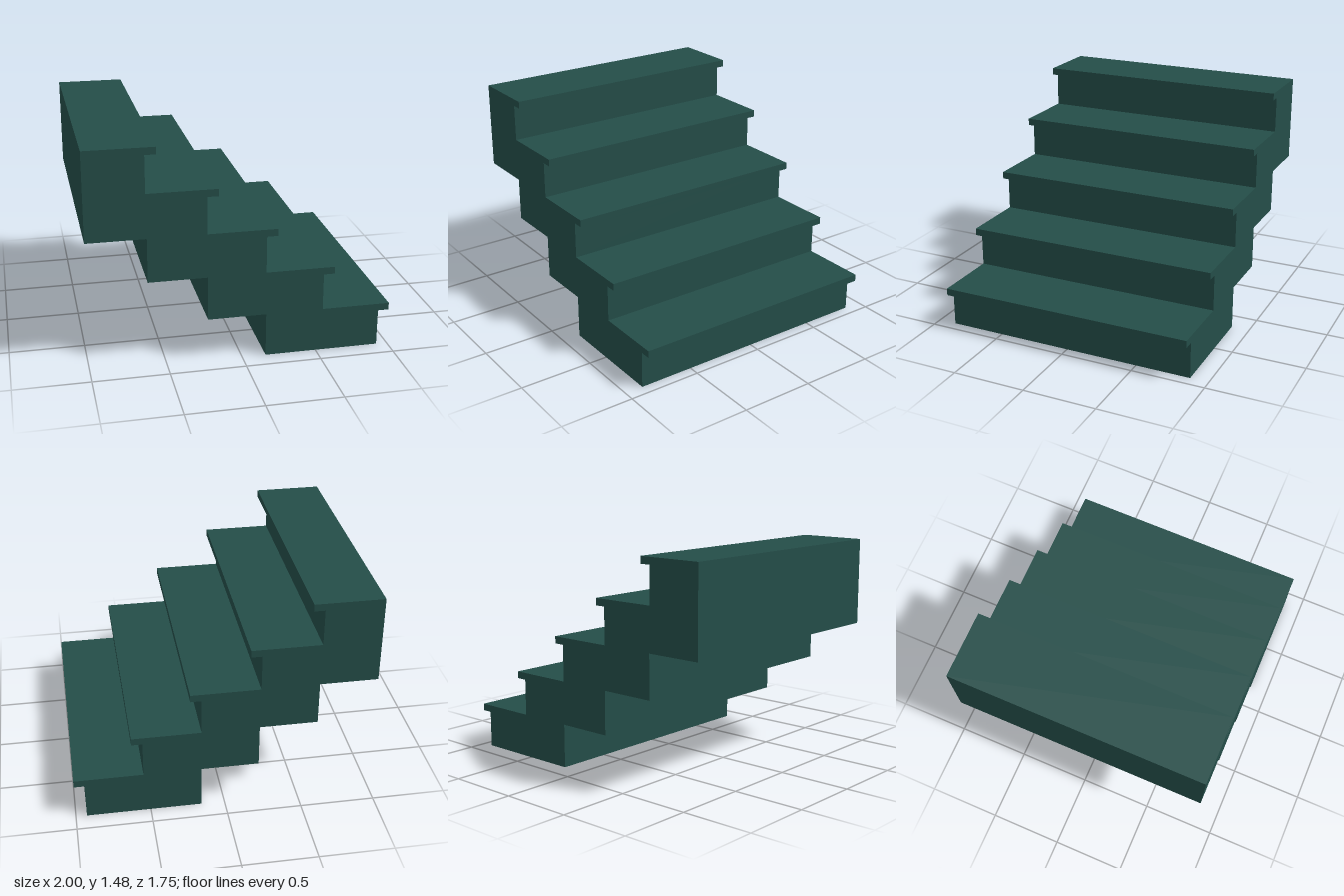
import * as THREE from 'three';

const STEPS = 5, RISE = 0.296, GOING = 0.386, DEPTH = 1.75;
const NOSE = 0.073, LIP = 0.048; // overhang and thickness of each tread edge

// Side outline: up the risers and nosings, then down the stepped underside
function stairProfile() {
  const s = new THREE.Shape();
  const underX = 1 - NOSE - 2 * GOING + 0.003;
  s.moveTo(underX, 0);
  for (let i = 0; i < STEPS; i++) {
    const nose = 1 - i * GOING, top = (i + 1) * RISE;
    s.lineTo(nose - NOSE, i * RISE);
    s.lineTo(nose - NOSE, top - LIP);
    s.lineTo(nose, top - LIP);
    s.lineTo(nose, top);
  }
  s.lineTo(-1, STEPS * RISE);
  for (let i = STEPS - 2; i > 0; i--) {
    const back = i === STEPS - 2 ? -1 : underX - i * GOING;
    s.lineTo(back, i * RISE);
    s.lineTo(underX - (i - 1) * GOING, i * RISE);
  }
  s.closePath();
  return s;
}

export function createModel() {
  const group = new THREE.Group();
  group.name = 'staircase';
  const paint = new THREE.MeshStandardMaterial({ color: 0x244d48 });
  paint.name = 'dark teal';

  // Solid flight of steps, extruded across its width
  const geometry = new THREE.ExtrudeGeometry(stairProfile(), { depth: DEPTH, bevelEnabled: false });
  geometry.translate(0, 0, -DEPTH / 2);
  const flight = new THREE.Mesh(geometry, paint);
  flight.name = 'stairFlight';
  group.add(flight);
  return group;
}
